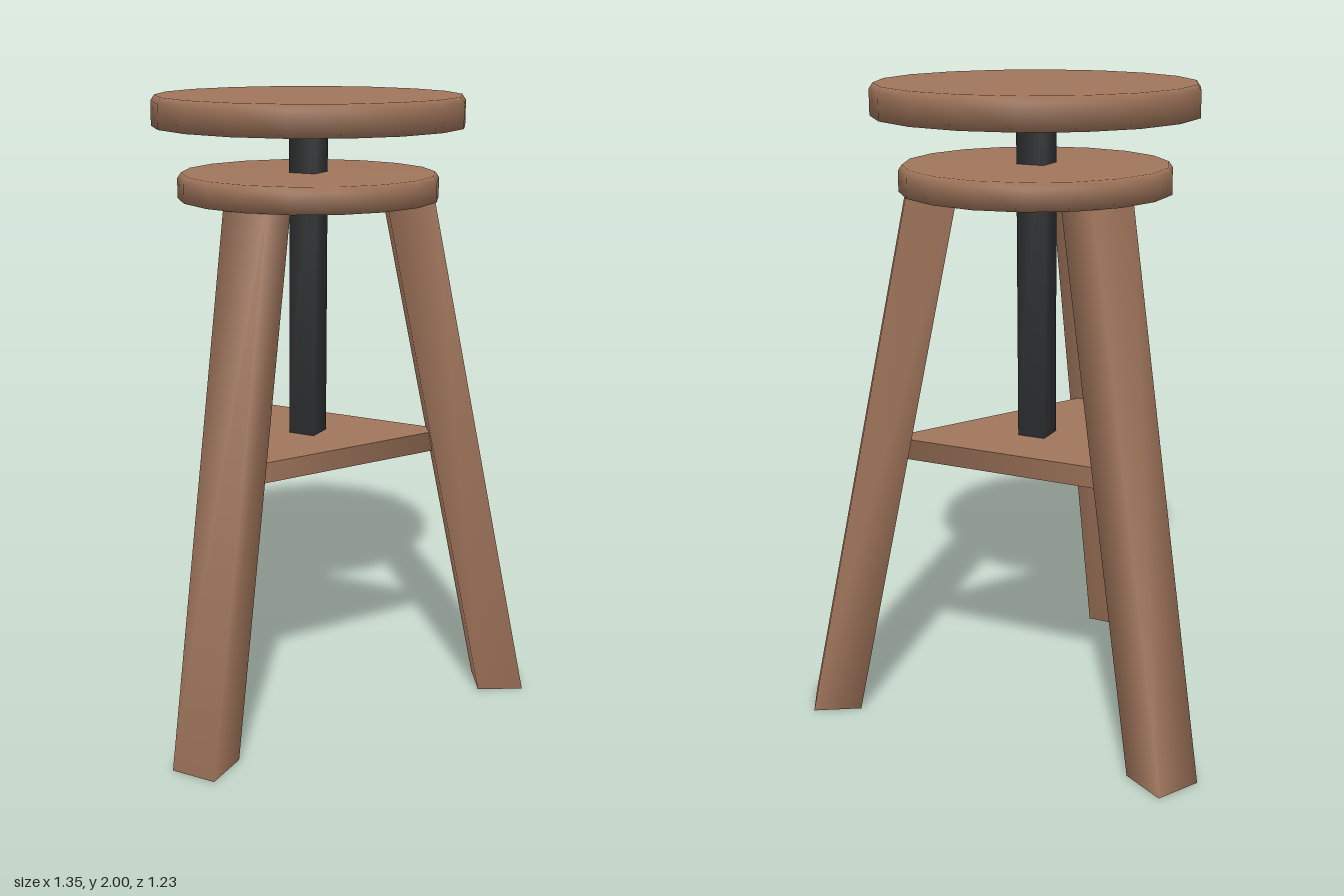
import * as THREE from 'three';
import { mergeVertices } from 'three/addons/utils/BufferGeometryUtils.js';

export function createModel() {
  const wood = new THREE.MeshStandardMaterial({ color: 0xa0755b });
  wood.name = 'wood';
  const metal = new THREE.MeshStandardMaterial({ color: 0x2c2e2f });
  metal.name = 'dark metal';

  const model = new THREE.Group();
  model.name = 'stool';
  // the axis of the seat lies a little behind the middle of the footprint
  const stool = new THREE.Group();
  stool.name = 'stoolBody';
  stool.position.set(-0.006, 0, -0.122);
  model.add(stool);

  const add = (name, geometry, material) => {
    const mesh = new THREE.Mesh(geometry, material);
    mesh.name = name;
    stool.add(mesh);
    return mesh;
  };

  // box with normals shared around its corners
  const softBox = (w, h, d) => {
    const box = new THREE.BoxGeometry(w, h, d);
    box.deleteAttribute('normal');
    box.deleteAttribute('uv');
    const soft = mergeVertices(box);
    soft.computeVertexNormals();
    return soft;
  };

  // 18-sided disc with a small bevel on the top rim
  const disc = (radius, bottom, top) => new THREE.LatheGeometry([
    new THREE.Vector2(0, bottom),
    new THREE.Vector2(radius, bottom),
    new THREE.Vector2(radius, top - 0.018),
    new THREE.Vector2(radius - 0.012, top),
    new THREE.Vector2(0, top),
  ], 18);

  add('seat', disc(0.492, 1.905, 2), wood);
  add('legPlate', disc(0.414, 1.68, 1.76), wood);

  // screw post from the shelf up to the seat
  const post = softBox(0.09, 1.01, 0.09);
  post.translate(0, 1.41, 0);
  add('screwPost', post, metal);

  // triangular shelf, one corner running into each leg
  const shelf = new THREE.CylinderGeometry(0.46, 0.46, 0.065, 3);
  shelf.translate(0, 0.877, 0);
  add('shelf', shelf, wood);

  // splayed leg: a box sheared outward towards the floor, cut level at both ends
  const leg = softBox(0.147, 1.69, 0.152);
  leg.translate(-0.01, 0.845, 0);
  const p = leg.attributes.position;
  for (let i = 0; i < p.count; i++) {
    p.setZ(i, p.getZ(i) + 0.661 - 0.2054 * p.getY(i));
  }
  leg.computeVertexNormals();
  ['frontLeg', 'backLeftLeg', 'backRightLeg'].forEach((name, i) => {
    add(name, leg, wood).rotation.y = (i * Math.PI * 2) / 3;
  });

  return model;
}
